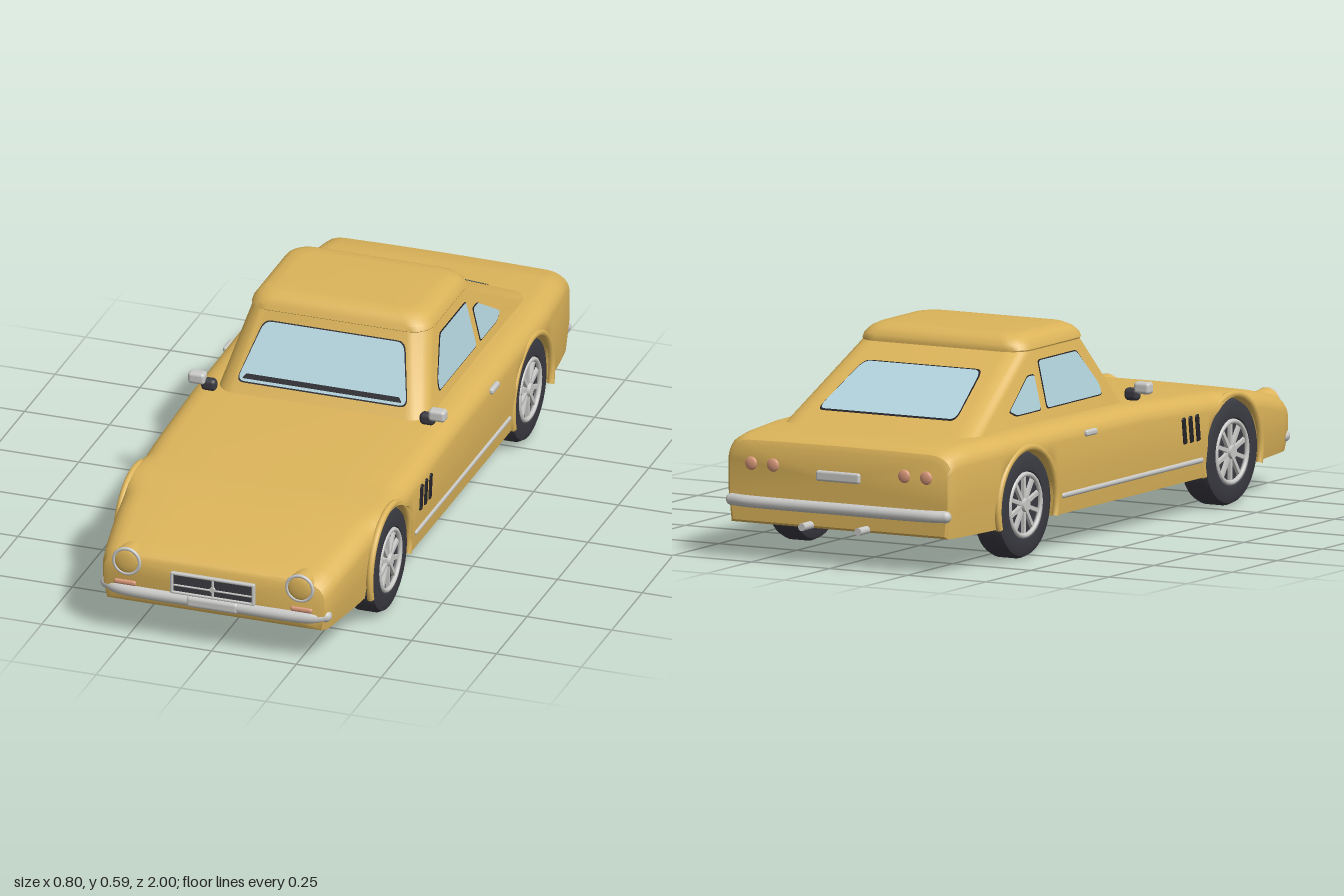
import * as THREE from 'three';
import { toCreasedNormals } from 'three/addons/utils/BufferGeometryUtils.js';
import { RoundedBoxGeometry } from 'three/addons/geometries/RoundedBoxGeometry.js';

const mat = (name, color, side = THREE.FrontSide) => {
  const m = new THREE.MeshStandardMaterial({ color, side });
  m.name = name;
  return m;
};
const lerp = THREE.MathUtils.lerp;

// Closed skin through equal-length rings, capped at both ends
function loft(rings, crease = 0.6) {
  const n = rings[0].length, pos = [], idx = [];
  rings.forEach(r => r.forEach(p => pos.push(...p)));
  for (let i = 0; i < rings.length - 1; i++) for (let j = 0; j < n; j++) {
    const a = i * n + j, b = i * n + (j + 1) % n, c = b + n, d = a + n;
    idx.push(a, d, c, a, c, b);
  }
  [0, rings.length - 1].forEach((k, end) => {
    const centre = [0, 1, 2].map(c => rings[k].reduce((s, p) => s + p[c], 0) / n);
    const ci = pos.length / 3;
    pos.push(...centre);
    for (let j = 0; j < n; j++) {
      const a = k * n + j, b = k * n + (j + 1) % n;
      end ? idx.push(ci, b, a) : idx.push(ci, a, b);
    }
  });
  const g = new THREE.BufferGeometry();
  g.setAttribute('position', new THREE.Float32BufferAttribute(pos, 3));
  g.setIndex(idx);
  return toCreasedNormals(g, crease);
}

// Body stations: z, half width, top height, bottom height
const STATIONS = [
  [0.985, 0.31, 0.236, 0.118], [0.978, 0.325, 0.247, 0.105], [0.955, 0.335, 0.257, 0.1], [0.92, 0.342, 0.265, 0.1],
  [0.8, 0.36, 0.29, 0.1], [0.7, 0.371, 0.307, 0.1], [0.6, 0.382, 0.32, 0.1], [0.4, 0.389, 0.332, 0.1],
  [0.1, 0.39, 0.348, 0.1], [-0.4, 0.39, 0.355, 0.1], [-0.7, 0.386, 0.354, 0.1], [-0.85, 0.372, 0.35, 0.1],
  [-0.92, 0.363, 0.344, 0.1], [-0.942, 0.357, 0.332, 0.1], [-0.95, 0.348, 0.315, 0.107]];
const AXLES = [0.58, -0.565], ARCH = 0.155, HUB_Y = 0.15;

function stationAt(z) {
  let i = 0;
  while (i < STATIONS.length - 2 && z < STATIONS[i + 1][0]) i++;
  const a = STATIONS[i], b = STATIONS[i + 1], t = (z - a[0]) / (b[0] - a[0]);
  return [1, 2, 3].map(k => lerp(a[k], b[k], t));
}

// One body cross-section; arch is the height of the wheel opening
function section(z, arch) {
  const [w, top, bottom] = stationAt(z), ya = arch || bottom;
  const ys = Math.max(top - 0.05, ya + 0.003);
  const half = [[0, bottom], [0.26, bottom], [0.26, ya], [w - 0.01, ya], [w, lerp(ya, ys, 0.5)], [w, ys]];
  for (let k = 1; k <= 5; k++) {
    const t = k * Math.PI / 10;
    half.push([w - 0.065 + 0.065 * Math.cos(t), ys + (top - ys) * Math.sin(t)]);
  }
  half.push([w * 0.5, top + 0.002], [0, top + 0.003]);
  const mirror = half.slice(1, -1).reverse().map(([x, y]) => [-x, y]);
  return [...half, ...mirror].map(([x, y]) => [x, y, z]);
}

function bodyGeometry() {
  const list = STATIONS.map(s => [s[0], 0]).filter(([z]) => AXLES.every(c => Math.abs(z - c) > ARCH));
  for (const c of AXLES) {
    list.push([c + ARCH, 0], [c - ARCH, 0]);
    for (let k = 0; k <= 20; k++) {
      const t = k * Math.PI / 20;
      list.push([c + Math.cos(t) * (ARCH - 0.0005), HUB_Y + ARCH * Math.sin(t)]);
    }
  }
  list.sort((a, b) => b[0] - a[0]);
  return loft(list.map(([z, a]) => section(z, a)));
}

// Cabin faces as functions of height
const frontZ = y => -0.03 + (0.545 - y) * 0.744;
const rearZ = y => -0.4 - (0.545 - y) * 1.814;
const sideX = y => 0.265 + (0.545 - y) * 0.2326;

function roundedRing(y, zf, zb, w, r) {
  const ring = [], h = (zf - zb) / 2, mid = (zf + zb) / 2;
  [[1, 1], [-1, 1], [-1, -1], [1, -1]].forEach(([sx, sv], q) => {
    for (let k = 0; k <= 6; k++) {
      const t = (q + k / 6) * Math.PI / 2;
      ring.push([sx * (w - r) + r * Math.cos(t), y, mid - sv * (h - r) - r * Math.sin(t)]);
    }
  });
  return ring;
}

// Flat panel with rounded corners, mapped onto a sloping face
function panel(pts, r, place) {
  const s = new THREE.Shape(), v = pts.map(p => new THREE.Vector2(...p));
  v.forEach((p, i) => {
    const a = v[(i + v.length - 1) % v.length], b = v[(i + 1) % v.length];
    const p0 = p.clone().add(a.clone().sub(p).setLength(r)), p1 = p.clone().add(b.clone().sub(p).setLength(r));
    i ? s.lineTo(p0.x, p0.y) : s.moveTo(p0.x, p0.y);
    s.quadraticCurveTo(p.x, p.y, p1.x, p1.y);
  });
  s.closePath();
  const g = new THREE.ShapeGeometry(s, 5), pos = g.attributes.position;
  for (let i = 0; i < pos.count; i++) pos.setXYZ(i, ...place(pos.getX(i), pos.getY(i)));
  g.computeVertexNormals();
  return g;
}

export function createModel() {
  const car = new THREE.Group();
  car.name = 'car';
  const paint = mat('yellow paint', 0xdcb45a), chrome = mat('chrome', 0xc9c9c7);
  const glass = mat('pale blue glass', 0xb2d3dc, THREE.DoubleSide), rubber = mat('dark rubber', 0x3a3a42, THREE.DoubleSide);
  const black = mat('black trim', 0x222228, THREE.DoubleSide), lamp = mat('salmon lamp', 0xd9987a);
  const add = (name, geo, material, x = 0, y = 0, z = 0, parent = car) => {
    const m = new THREE.Mesh(geo, material);
    m.name = name;
    m.position.set(x, y, z);
    parent.add(m);
    return m;
  };
  const rbox = (w, h, d, r) => new RoundedBoxGeometry(w, h, d, 3, r);
  const rod = (r, len) => new THREE.CapsuleGeometry(r, len, 6, 14).rotateX(Math.PI / 2);
  const disc = (r, d) => new THREE.CylinderGeometry(r, r, d, 32).rotateX(Math.PI / 2);

  add('body', bodyGeometry(), paint);
  add('underbody', new THREE.BoxGeometry(0.49, 0.02, 1.22), black, 0, 0.096, 0);

  // Cabin with a slightly raised roof cap
  const layers = [[0.592, -0.09, -0.33, 0.2, 0.05], [0.59, -0.06, -0.36, 0.232, 0.06], [0.58, -0.042, -0.382, 0.25, 0.06],
    [0.563, -0.027, -0.397, 0.263, 0.06], [0.549, -0.024, -0.4, 0.267, 0.06],
    [0.545, -0.03, -0.4, 0.265, 0.06], [0.33, frontZ(0.33), rearZ(0.33), sideX(0.33), 0.06]];
  add('cabin', loft(layers.map(l => roundedRing(...l))), paint);

  // Glass, each pane over a slightly larger dark seal
  const window_ = (name, pts, r, place) => {
    const c = pts.reduce((s, p) => [s[0] + p[0] / pts.length, s[1] + p[1] / pts.length], [0, 0]);
    const grow = pts.map(([u, v]) => [u + Math.sign(u - c[0]) * 0.003, v + Math.sign(v - c[1]) * 0.003]);
    add(name + 'Seal', panel(grow, r, place(0.002)), black);
    add(name, panel(pts, r, place(0.004)), glass);
  };
  const onFront = o => (x, y) => [x, y + o * 0.6, frontZ(y) + o * 0.8];
  const onRear = o => (x, y) => [x, y + o * 0.88, rearZ(y) - o * 0.48];
  window_('windscreen', [[-0.25, 0.378], [0.25, 0.378], [0.205, 0.52], [-0.205, 0.52]], 0.022, onFront);
  add('wiper', panel([[-0.235, 0.384], [0.235, 0.384], [0.225, 0.396], [-0.225, 0.396]], 0.004, onFront(0.007)), black);
  window_('rearWindow', [[-0.22, 0.39], [0.22, 0.39], [0.187, 0.5], [-0.187, 0.5]], 0.02, onRear);

  // Parts repeated on both sides
  for (const s of [1, -1]) {
    const side = s > 0 ? 'left' : 'right';
    const onSide = o => (z, y) => [s * (sideX(y) + o), y + o * 0.23, z];
    window_(side + 'DoorWindow', [[-0.02, 0.385], [-0.025, 0.415], [-0.11, 0.515], [-0.32, 0.515], [-0.322, 0.385]], 0.012, onSide);
    window_(side + 'QuarterWindow', [[-0.357, 0.385], [-0.357, 0.48], [-0.395, 0.48], [-0.525, 0.4], [-0.49, 0.385]], 0.01, onSide);

    for (let k = 0; k < 3; k++)
      add(side + 'Vent', rbox(0.012, 0.076, 0.019, 0.005), black, s * 0.388, 0.247, 0.365 - k * 0.037).rotation.x = -0.14;
    add(side + 'SillStrip', rod(0.008, 0.765), chrome, s * 0.383, 0.152, 0.012);
    add(side + 'DoorHandle', rbox(0.016, 0.018, 0.06, 0.007), chrome, s * 0.391, 0.312, -0.23);
    add(side + 'MirrorStalk', rbox(0.045, 0.036, 0.03, 0.013), rubber, s * 0.322, 0.368, 0.122);
    add(side + 'MirrorHead', rbox(0.05, 0.034, 0.034, 0.01), chrome, s * 0.354, 0.387, 0.128);

    add(side + 'HeadlightPod', new THREE.CylinderGeometry(0.042, 0.03, 0.11, 32).rotateX(Math.PI / 2), paint, s * 0.255, 0.228, 0.928);
    add(side + 'HeadlightRing', new THREE.TorusGeometry(0.038, 0.005, 10, 36), chrome, s * 0.255, 0.228, 0.985);
    add(side + 'HeadlightLens', new THREE.SphereGeometry(0.037, 24, 12).scale(1, 1, 0.25), paint, s * 0.255, 0.228, 0.984);
    add(side + 'Indicator', rbox(0.066, 0.016, 0.02, 0.007), lamp, s * 0.26, 0.163, 0.98);
    for (const x of [0.21, 0.28])
      add(side + 'TailLight', new THREE.SphereGeometry(0.019, 20, 12).scale(1, 1, 0.4), lamp, s * x, 0.268, -0.95);
    add(side + 'Exhaust', new THREE.CylinderGeometry(0.011, 0.011, 0.14, 16).rotateX(Math.PI / 2), chrome, s * 0.09, 0.109, -0.93);

    // Wheels and arch flares
    AXLES.forEach((z, i) => {
      const flare = new THREE.TorusGeometry(0.162, 0.01, 10, 40, Math.PI * 1.2);
      flare.rotateZ(-Math.PI * 0.1).rotateY(Math.PI / 2);
      add('wheelArch', flare, paint, s * (i ? 0.382 : 0.374), HUB_Y, z);

      const wheel = new THREE.Group();
      wheel.name = side + (i ? 'RearWheel' : 'FrontWheel');
      wheel.position.set(s * 0.333, HUB_Y, z);
      wheel.rotation.y = s > 0 ? 0 : Math.PI;
      car.add(wheel);
      const profile = [[0, -0.047], [0.125, -0.047], [0.143, -0.04], [0.15, -0.025], [0.15, 0.025], [0.143, 0.04],
        [0.125, 0.047], [0.096, 0.045], [0.09, 0.028], [0, 0.028]].map(p => new THREE.Vector2(...p));
      const tyre = new THREE.LatheGeometry(profile, 48).rotateZ(-Math.PI / 2);
      add('tyre', toCreasedNormals(tyre, 0.7), rubber, 0, 0, 0, wheel);
      add('rim', new THREE.TorusGeometry(0.086, 0.007, 10, 40).rotateY(Math.PI / 2), chrome, 0.041, 0, 0, wheel);
      add('hub', new THREE.CylinderGeometry(0.018, 0.022, 0.022, 20).rotateZ(-Math.PI / 2), chrome, 0.038, 0, 0, wheel);
      for (let k = 0; k < 10; k++)
        add('spoke', new THREE.BoxGeometry(0.01, 0.074, 0.011).translate(0, 0.048, 0), chrome, 0.036, 0, 0, wheel)
          .rotation.x = k * Math.PI / 5;
    });
  }

  // Bumpers wrap around the corners
  const bumper = (name, pts, r) => {
    const curve = new THREE.CatmullRomCurve3(pts.map(p => new THREE.Vector3(...p)));
    add(name, new THREE.TubeGeometry(curve, 48, r, 14), chrome);
    for (const p of [pts[0], pts[pts.length - 1]]) add(name + 'End', new THREE.SphereGeometry(r, 16, 10), chrome, ...p);
  };
  bumper('frontBumper', [[-0.322, 0.143, 0.96], [-0.285, 0.14, 0.976], [0, 0.138, 0.98], [0.285, 0.14, 0.976], [0.322, 0.143, 0.96]], 0.018);
  bumper('rearBumper', [[-0.342, 0.163, -0.95], [-0.29, 0.163, -0.963], [0, 0.163, -0.966], [0.29, 0.163, -0.963], [0.342, 0.163, -0.95]], 0.017);
  add('frontPlate', rbox(0.154, 0.034, 0.024, 0.011), chrome, 0, 0.138, 0.988);
  add('rearPlate', rbox(0.14, 0.03, 0.016, 0.007), chrome, 0, 0.25, -0.951);

  // Grille
  add('grille', new THREE.BoxGeometry(0.236, 0.058, 0.01), rubber, 0, 0.187, 0.984);
  add('grilleTop', rbox(0.248, 0.009, 0.016, 0.004), chrome, 0, 0.216, 0.987);
  add('grilleBottom', rbox(0.248, 0.007, 0.016, 0.003), chrome, 0, 0.159, 0.987);
  add('grilleBar', rbox(0.23, 0.005, 0.01, 0.002), chrome, 0, 0.181, 0.988);
  add('grillePost', rbox(0.006, 0.055, 0.012, 0.002), chrome, 0, 0.187, 0.988);
  for (const s of [1, -1]) add('grilleSide', rbox(0.008, 0.062, 0.016, 0.003), chrome, s * 0.12, 0.187, 0.987);
  add('grilleBadge', disc(0.008, 0.012), chrome, 0, 0.184, 0.989);
  return car;
}
